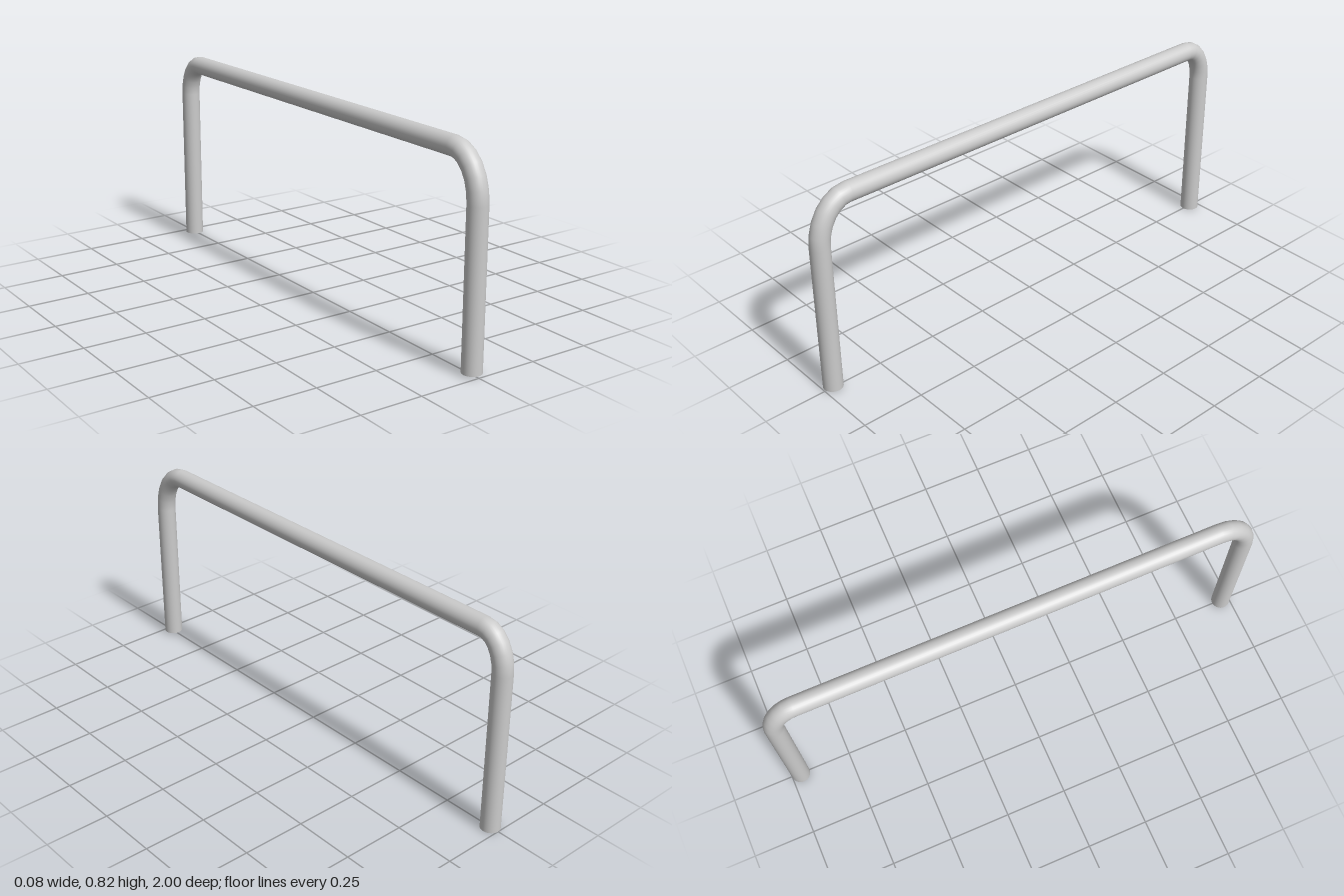
import * as THREE from 'three';

const RADIUS = 0.038;

// Quarter-ellipse bend: each row holds a centre (z, y) and its outward direction (nz, ny)
function bend(zc, yc, a, b, from, steps) {
  const rows = [];
  for (let i = 0; i <= steps; i++) {
    const t = from + (i / steps) * Math.PI / 2;
    const c = Math.cos(t), s = Math.sin(t);
    const len = Math.hypot(b * c, a * s);
    rows.push({ z: zc + a * c, y: yc + b * s, nz: b * c / len, ny: a * s / len });
  }
  return rows;
}

export function createModel() {
  const group = new THREE.Group();
  group.name = 'handrail';

  // Centre line: front foot, wide front bend, top bar, tighter back bend, back foot
  const rows = [
    { z: 0.962, y: 0.008, nz: 1, ny: 0 },
    ...bend(0.835, 0.61, 0.127, 0.174, 0, 6),
    ...bend(-0.868, 0.645, 0.094, 0.139, Math.PI / 2, 6),
    { z: -0.962, y: 0, nz: -1, ny: 0 },
  ];

  // A capped cylinder whose rings are moved onto the centre line
  const n = rows.length - 1;
  const geo = new THREE.CylinderGeometry(RADIUS, RADIUS, 1, 32, n);
  const pos = geo.attributes.position, nor = geo.attributes.normal;
  for (let i = 0; i < pos.count; i++) {
    const r = rows[Math.round((pos.getY(i) + 0.5) * n)];
    const out = pos.getZ(i);
    pos.setXYZ(i, pos.getX(i), r.y + out * r.ny, r.z + out * r.nz);
    const along = nor.getY(i), side = nor.getZ(i);
    nor.setXYZ(i, nor.getX(i), along * r.nz + side * r.ny, -along * r.ny + side * r.nz);
  }

  const rail = new THREE.Mesh(geo, new THREE.MeshStandardMaterial({ color: 0xcccccc }));
  rail.name = 'bentTube';
  group.add(rail);
  return group;
}
